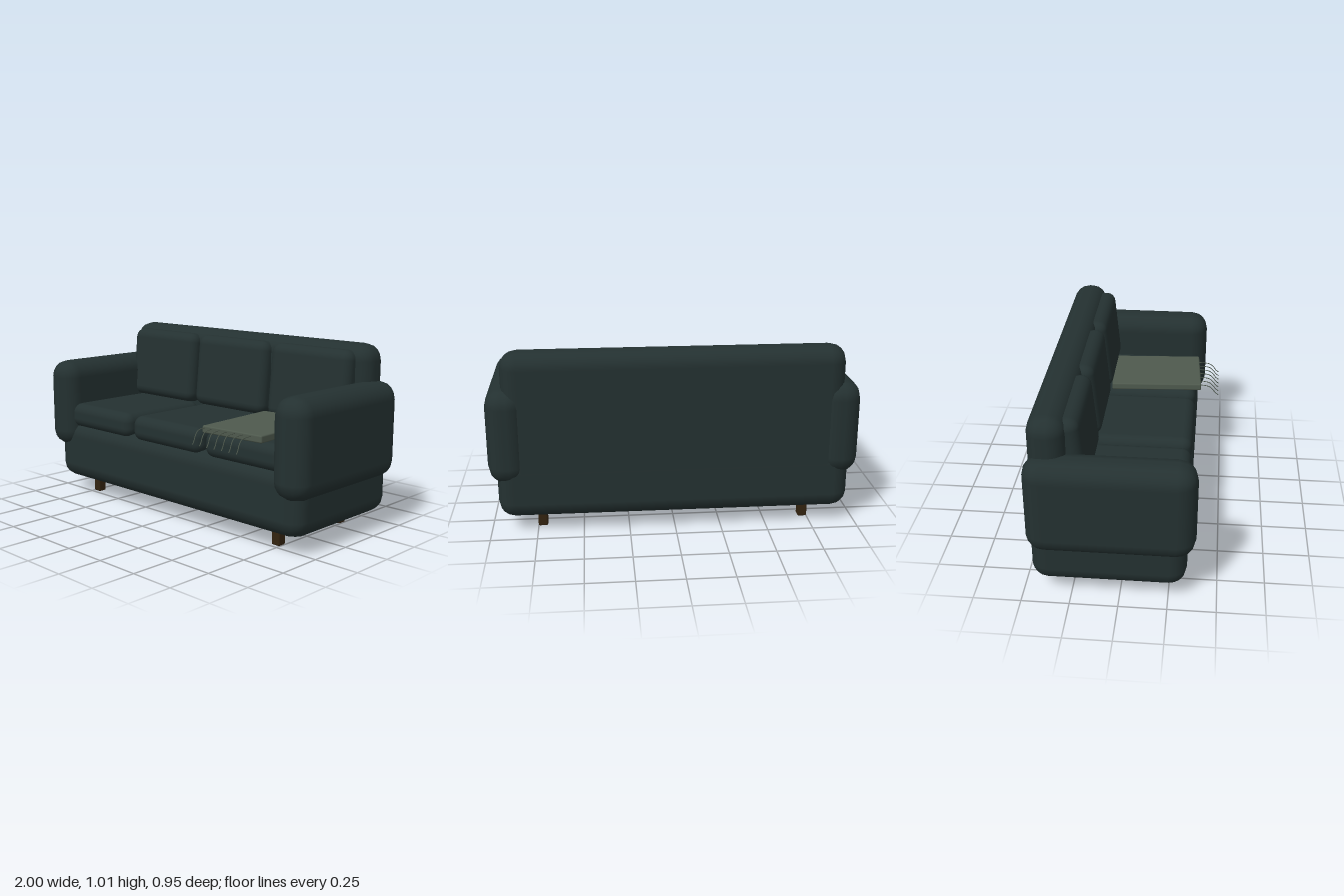
import * as THREE from 'three';
import { RoundedBoxGeometry } from 'three/addons/geometries/RoundedBoxGeometry.js';

const material = (name, color) => {
  const m = new THREE.MeshStandardMaterial({ color });
  m.name = name;
  return m;
};

// Soft box given by its [min, max] extent on each axis
function softBox(name, mat, [x0, x1], [y0, y1], [z0, z1], radius, segments = 2) {
  const geo = new RoundedBoxGeometry(x1 - x0, y1 - y0, z1 - z0, segments, radius);
  const mesh = new THREE.Mesh(geo, mat);
  mesh.name = name;
  mesh.position.set((x0 + x1) / 2, (y0 + y1) / 2, (z0 + z1) / 2);
  return mesh;
}

export function createModel() {
  const fabric = material('dark teal fabric', 0x243131);
  const wood = material('dark wood', 0x33230f);
  const wool = material('grey green wool', 0x4f5a4e);

  const sofa = new THREE.Group();
  sofa.name = 'sofa';

  // Frame: base, backrest and arms
  sofa.add(softBox('base', fabric, [-0.955, 0.955], [0.088, 0.44], [-0.455, 0.342], 0.09));
  sofa.add(softBox('backrest', fabric, [-0.912, 0.912], [0.2, 1.006], [-0.454, -0.256], 0.09));
  sofa.add(softBox('leftArm', fabric, [0.785, 1], [0.287, 0.812], [-0.472, 0.385], 0.098));
  sofa.add(softBox('rightArm', fabric, [-1, -0.785], [0.287, 0.812], [-0.472, 0.385], 0.098));

  // Three seat cushions and three leaning back cushions
  for (const x of [-0.573, -0.003, 0.57]) {
    const span = [x - 0.271, x + 0.271];
    sofa.add(softBox('seatCushion', fabric, span, [0.413, 0.557], [-0.27, 0.336], 0.055, 3));
    const back = softBox('backCushion', fabric, span, [0.555, 0.975], [-0.325, -0.18], 0.055, 3);
    back.rotation.x = -0.1;
    sofa.add(back);
  }

  // Legs
  for (const x of [-0.725, 0.725])
    for (const z of [0.205, -0.318])
      sofa.add(softBox('leg', wood, [x - 0.026, x + 0.026], [0, 0.14], [z - 0.026, z + 0.026], 0.008, 1));

  // Folded throw blanket laid a little askew on the left seat
  const blanket = softBox('blanket', wool, [0.315, 0.706], [0.556, 0.596], [-0.178, 0.357], 0.008, 1);
  blanket.rotation.y = 0.06;
  sofa.add(blanket);

  // Fringe hanging from the blanket's front edge
  const fringe = new THREE.Group();
  fringe.name = 'blanketFringe';
  for (let i = 0; i < 7; i++) {
    const x = 0.347 + i * 0.0508;
    const curve = new THREE.CatmullRomCurve3([
      [0, 0.585, 0.345], [0, 0.584, 0.385], [0.001, 0.577, 0.415],
      [0.006, 0.556, 0.438], [0.012, 0.53, 0.455], [0.018, 0.515, 0.472],
    ].map(([dx, y, z]) => new THREE.Vector3(x + dx, y, z)));
    const strand = new THREE.Mesh(new THREE.TubeGeometry(curve, 14, 0.0025, 5), wool);
    strand.name = 'fringeStrand';
    fringe.add(strand);
  }
  sofa.add(fringe);

  return sofa;
}
